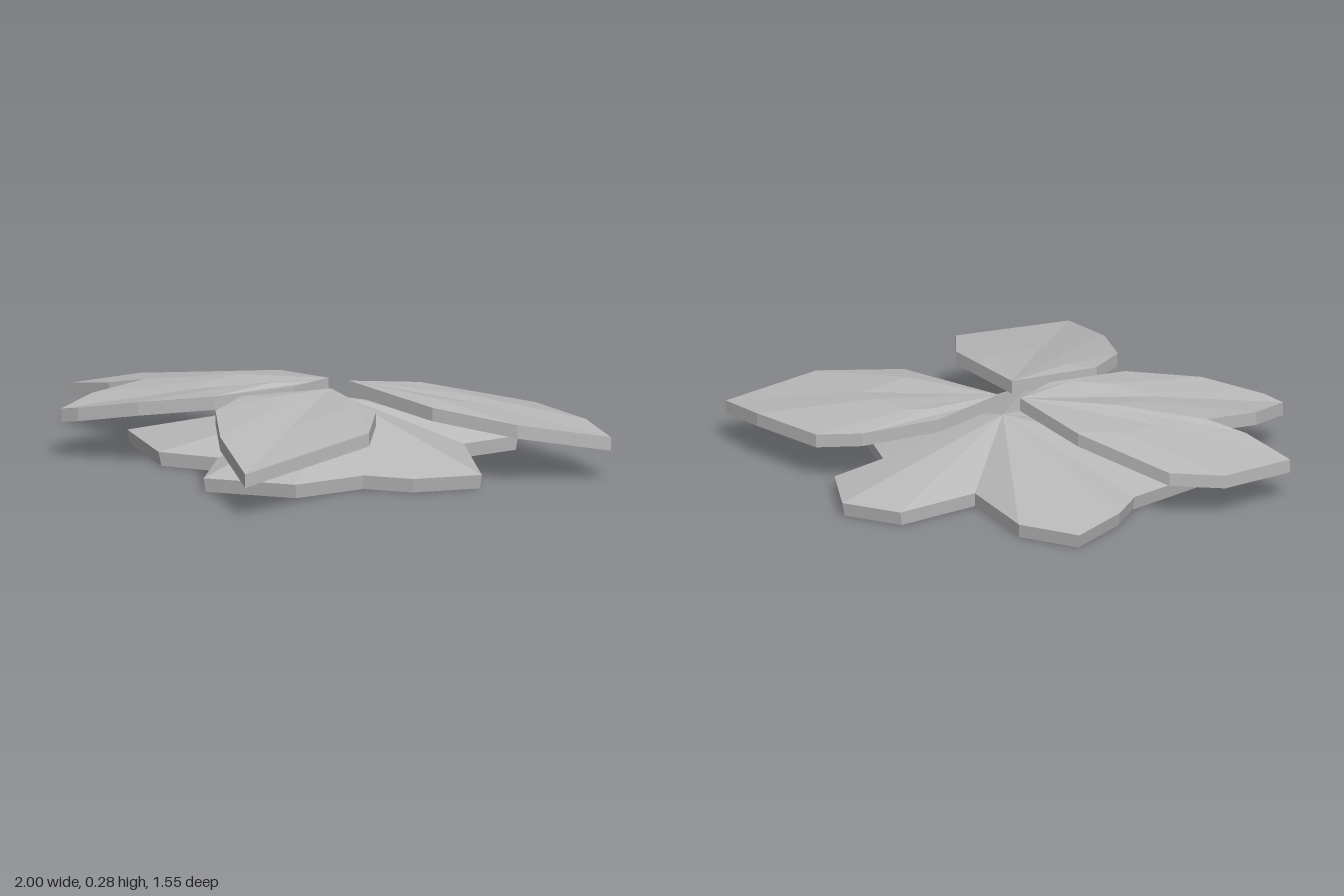
import * as THREE from 'three';

const leafGrey = new THREE.MeshStandardMaterial({ color: 0xb8b8b8 });
leafGrey.name = 'leafGrey';
leafGrey.flatShading = true;

// Faceted slab fanned out from a root to an outline listed clockwise from above.
// bump lifts the middle of the inner rays, closed joins the last ray to the first.
function leafSlab(name, root, outline, { thickness = 0.048, bump = 0, inset = 1, closed = false }) {
  const pos = [];
  const quad = (a, b, c, d) => pos.push(...a, ...b, ...c, ...a, ...c, ...d);
  const n = outline.length;
  const rayEnd = (i) => !closed && (i === 0 || i === n - 1);
  const middle = outline.map((p, i) => {
    const m = p.map((v, k) => (v + root[k]) / 2);
    if (!rayEnd(i)) m[1] += bump;
    return m;
  });
  const under = ([x, y, z]) => [
    root[0] + (x - root[0]) * inset, y - thickness, root[2] + (z - root[2]) * inset,
  ];
  const rootLow = under(root);

  for (let i = 0; i < (closed ? n : n - 1); i++) {
    const j = (i + 1) % n;
    const [oi, oj, mi, mj] = [outline[i], outline[j], middle[i], middle[j]];
    const [ui, uj, vi, vj] = [oi, oj, mi, mj].map(under);
    pos.push(...root, ...mj, ...mi);      // upper face
    quad(mi, mj, oj, oi);
    pos.push(...rootLow, ...vi, ...vj);   // lower face
    quad(vj, vi, ui, uj);
    quad(oi, oj, uj, ui);                 // rim
  }
  if (!closed) {
    const first = outline[0], last = outline[n - 1];
    quad(root, first, under(first), rootLow);
    quad(last, root, rootLow, under(last));
  }

  const geometry = new THREE.BufferGeometry();
  geometry.setAttribute('position', new THREE.Float32BufferAttribute(pos, 3));
  geometry.computeVertexNormals();
  const mesh = new THREE.Mesh(geometry, leafGrey);
  mesh.name = name;
  return mesh;
}

export function createModel() {
  const group = new THREE.Group();
  group.name = 'leafCluster';

  // Lower five-lobed leaf: a shallow hollow cone with a flat rim
  const rim = [
    [-0.34, -0.78], [-0.12, -0.72], [0.07, -0.48], [0.30, -0.68], [0.51, -0.63],
    [0.57, -0.41], [0.42, -0.25], [0.60, 0.15], [0.39, 0.27], [0.21, 0.27],
    [0.02, 0.46], [-0.31, 0.46], [-0.34, 0.17], [-0.56, 0.15], [-0.75, -0.12],
    [-0.48, -0.43], [-0.45, -0.57],
  ].map(([x, z]) => [x, 0.05, z]);
  group.add(leafSlab('lowerLeaf', [0.02, 0.21, -0.16], rim,
    { thickness: 0.05, inset: 0.985, closed: true }));

  // Upper leaves, arching down from the centre
  group.add(leafSlab('leftLeaf', [0.04, 0.275, -0.14], [
    [0.22, 0.24, -0.30], [0.48, 0.20, -0.37], [0.64, 0.185, -0.37], [0.87, 0.18, -0.21],
    [1.0, 0.158, -0.07], [0.71, 0.22, 0.09], [0.40, 0.255, 0.07],
  ], { bump: 0.02 }));

  group.add(leafSlab('frontLeaf', [0.01, 0.275, -0.02], [
    [0.24, 0.265, 0.22], [0.27, 0.24, 0.41], [-0.07, 0.158, 0.775],
    [-0.23, 0.22, 0.53], [-0.31, 0.255, 0.31], [-0.26, 0.27, 0.15],
  ], { bump: 0.01 }));

  // Two-lobed leaf with a notch in its outer edge
  group.add(leafSlab('rightDoubleLeaf', [-0.04, 0.275, -0.16], [
    [-0.12, 0.275, -0.01], [-0.36, 0.262, 0.15], [-0.62, 0.235, 0.20], [-0.84, 0.195, 0.18],
    [-0.91, 0.18, 0.15], [-0.84, 0.205, 0.0], [-0.69, 0.23, -0.14], [-0.83, 0.20, -0.17],
    [-1.0, 0.16, -0.28], [-0.80, 0.165, -0.46], [-0.61, 0.175, -0.49], [-0.27, 0.24, -0.35],
  ], { bump: 0.015 }));

  return group;
}
